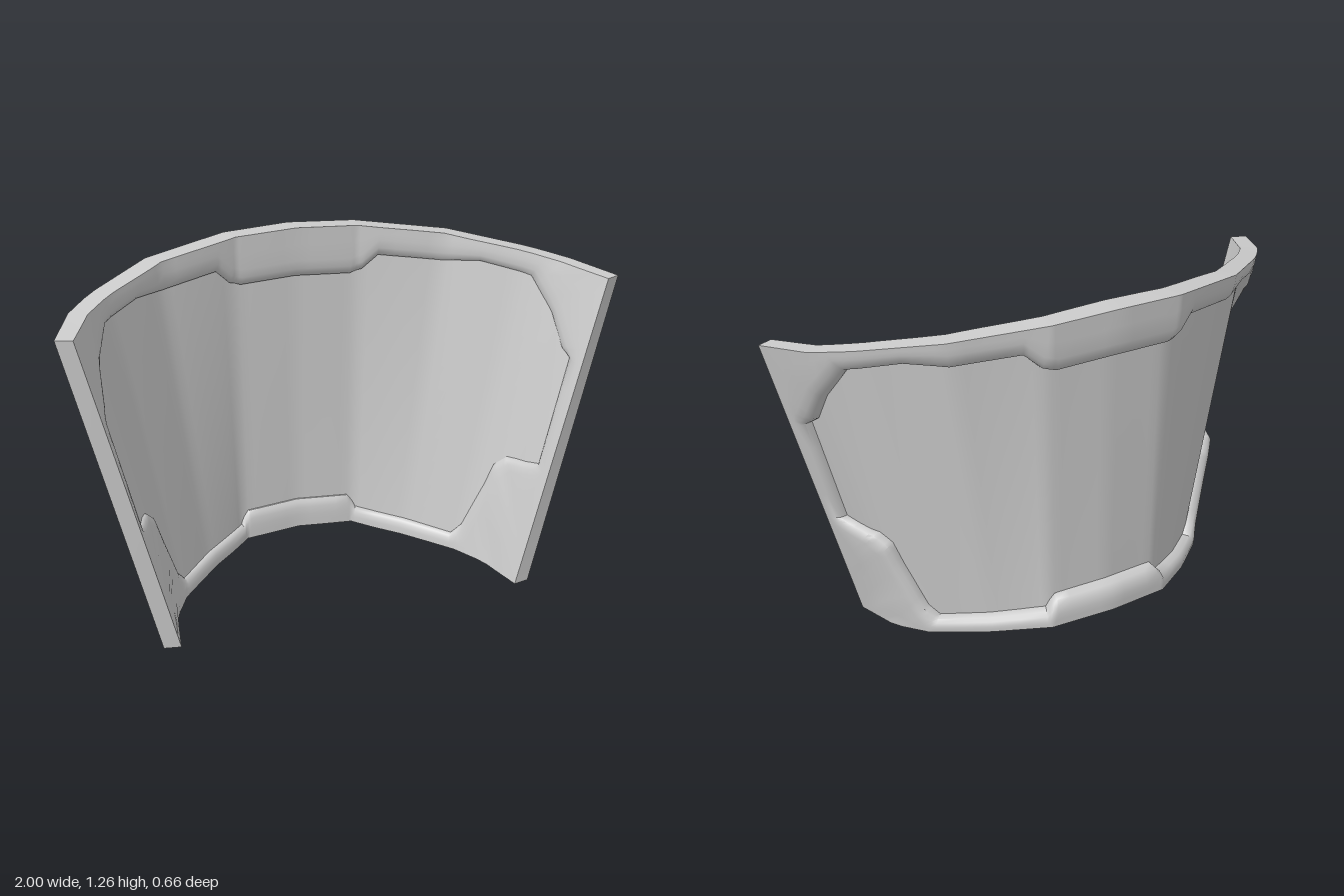
import * as THREE from 'three';
import { toCreasedNormals } from 'three/addons/utils/BufferGeometryUtils.js';

// Half outlines of the convex side from centre (s = 0) to the end (s = 1)
const KNOTS = [0, 0.2, 0.46, 0.7, 0.83, 1];
const TOP = [[0, 1.265, -0.335], [0.25, 1.255, -0.318], [0.57, 1.222, -0.2], [0.81, 1.178, -0.005], [0.91, 1.155, 0.11], [1, 1.13, 0.3]];
const BOTTOM = [[0, 0.1, -0.315], [0.235, 0.092, -0.29], [0.42, 0.06, -0.155], [0.58, 0.03, -0.005], [0.655, 0.015, 0.12], [0.695, 0, 0.31]];

function along(points, s) {
  const a = Math.min(Math.abs(s), 1);
  let i = 0;
  while (i < KNOTS.length - 2 && a > KNOTS[i + 1]) i++;
  const k = (a - KNOTS[i]) / (KNOTS[i + 1] - KNOTS[i]);
  const p = new THREE.Vector3(...points[i]).lerp(new THREE.Vector3(...points[i + 1]), k);
  if (s < 0) p.x *= -1;
  return p;
}

const shell = (s, v) => along(BOTTOM, s).lerp(along(TOP, s), v);

// Point on the curved shell; d runs from the convex face (0) to the concave face (1)
function place(s, v, d) {
  const p = shell(s, v);
  const t = shell(Math.min(s + 0.08, 1), v).sub(shell(Math.max(s - 0.08, -1), v));
  const n = new THREE.Vector3(-t.z, 0, t.x).normalize();
  const thick = THREE.MathUtils.lerp(0.078 + 0.015 * v, 0.06, Math.abs(s));
  p.addScaledVector(n, d * thick);
  p.z = Math.min(p.z, 0.325);
  return p;
}

// Indexed quads between rows of points
function skin(rows, closed) {
  const m = rows[0].length, index = [], pos = [];
  rows.forEach((r) => r.forEach((p) => pos.push(p.x, p.y, p.z)));
  const n = closed ? rows.length : rows.length - 1;
  const w = closed ? m : m - 1;
  for (let i = 0; i < n; i++) {
    const k = (i + 1) % rows.length;
    for (let j = 0; j < w; j++) {
      const l = (j + 1) % m;
      index.push(i * m + j, k * m + j, k * m + l, i * m + j, k * m + l, i * m + l);
    }
  }
  const g = new THREE.BufferGeometry();
  g.setAttribute('position', new THREE.Float32BufferAttribute(pos, 3));
  g.setIndex(index);
  g.computeVertexNormals();
  return g;
}

// Frame stations for one half: outer s, v and opening s, v
const STATIONS = [
  [0, 1, 0, 0.845], [0.18, 1, 0.18, 0.845], [0.22, 1, 0.22, 0.86], [0.27, 1, 0.27, 0.91],
  [0.46, 1, 0.46, 0.912], [0.58, 1, 0.58, 0.937], [0.78, 1, 0.74, 0.93], [1, 1, 0.84, 0.84],
  [1, 0.8, 0.91, 0.75], [1, 0.72, 0.945, 0.73], [1, 0.38, 0.945, 0.38], [1, 0.3, 0.89, 0.365],
  [1, 0.18, 0.81, 0.352], [1, 0.07, 0.77, 0.315], [1, 0, 0.75, 0.24], [0.8, 0, 0.7, 0.085],
  [0.67, 0, 0.66, 0.045], [0.22, 0, 0.22, 0.05], [0.18, 0, 0.18, 0.09], [0, 0, 0, 0.09],
];

function frameGeometry() {
  const left = STATIONS.slice(1, -1).reverse().map(([a, b, c, d]) => [-a, b, -c, d]);
  const loop = [...STATIONS, ...left];
  const rows = [];
  loop.forEach((a, i) => {
    const b = loop[(i + 1) % loop.length];
    for (let q = 0; q < 4; q++) {
      const [so, vo, si, vi] = a.map((x, c) => THREE.MathUtils.lerp(x, b[c], q / 4));
      // Flat faces with a rolled lip of even width around the opening
      const w = Math.min(0.6, 0.05 / Math.hypot(si - so, vi - vo));
      const e = 1 - w;
      const profile = [
        [0, 0], [e * 0.5, 0], [e, 0], [1 - w * 0.5, 0.08], [1 - w * 0.15, 0.27], [1, 0.62],
        [1, 0.78], [1 - w * 0.2, 0.9], [1 - w * 0.5, 0.97], [e, 1], [e * 0.5, 1], [0, 1],
      ];
      rows.push(profile.map(([t, d]) => place(so + (si - so) * t, vo + (vi - vo) * t, d)));
    }
  });
  return toCreasedNormals(skin(rows, true), 0.8);
}

function panelGeometry() {
  const rows = [];
  for (let i = 0; i <= 64; i++) {
    const s = -0.965 + (1.93 * i) / 64;
    rows.push(Array.from({ length: 13 }, (_, j) => place(s, 0.025 + (0.95 * j) / 12, 0.7)));
  }
  return skin(rows, false);
}

export function createModel() {
  const group = new THREE.Group();
  group.name = 'curvedPanel';
  const grey = new THREE.MeshStandardMaterial({ color: 0xcccccc });
  const sheet = new THREE.MeshStandardMaterial({ color: 0xcccccc, side: THREE.DoubleSide });

  // Thick rim with stepped opening
  const frame = new THREE.Mesh(frameGeometry(), grey);
  frame.name = 'frame';
  // Thin sheet filling the opening
  const panel = new THREE.Mesh(panelGeometry(), sheet);
  panel.name = 'panel';
  group.add(frame, panel);
  return group;
}
